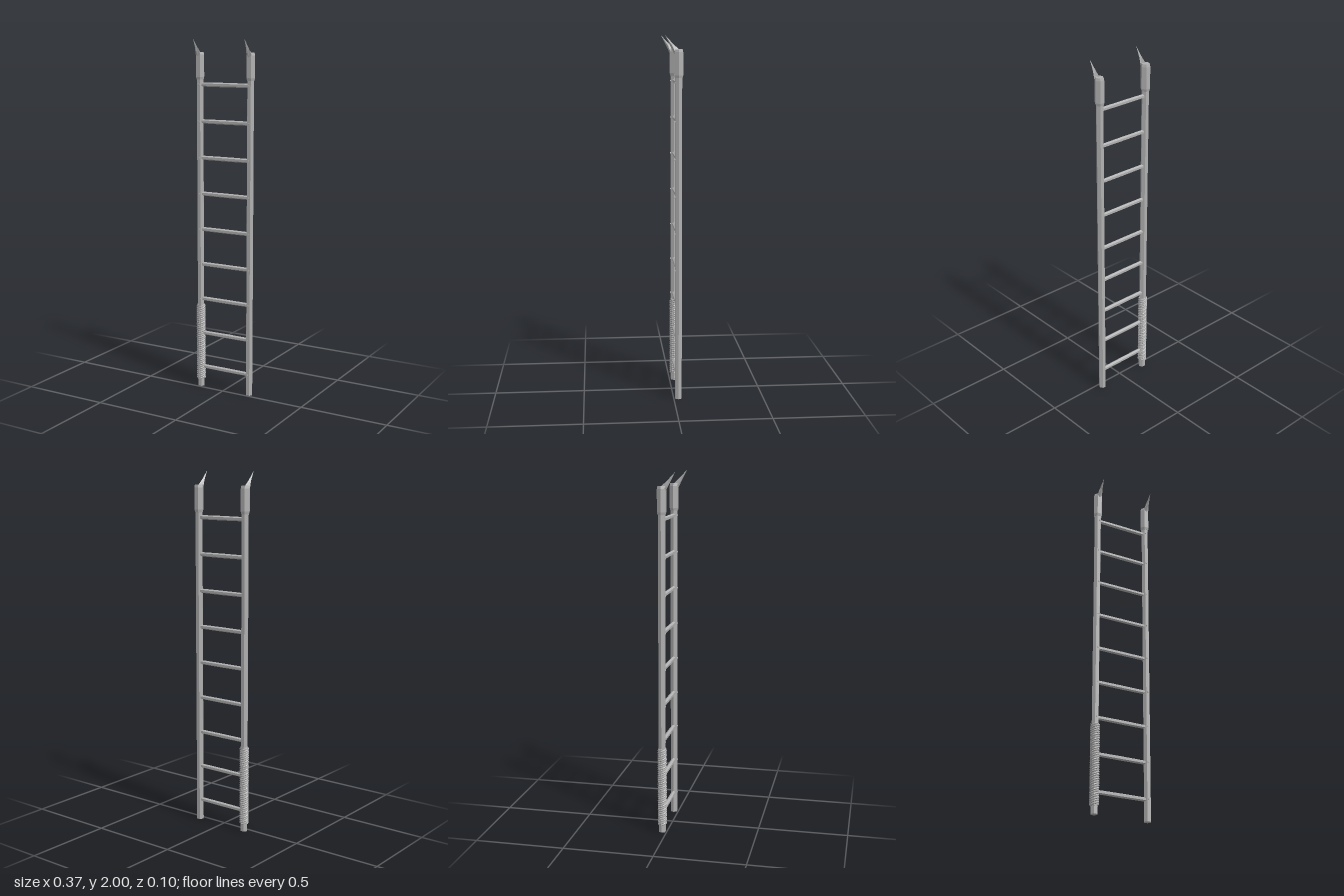
import * as THREE from 'three';

const RAIL_X = 0.159, RAIL_Z = -0.026;

// Six-sided lathe with corners pointing along x; profile is [radius, y] from bottom to top
function hexLathe(profile) {
  return new THREE.LatheGeometry(profile.map(([r, y]) => new THREE.Vector2(r, y)), 6, Math.PI / 6);
}

// One strand of rope wound around the y axis
class Coil extends THREE.Curve {
  constructor(radius, y0, y1, turns, phase) {
    super();
    Object.assign(this, { radius, y0, y1, turns, phase });
  }
  getPoint(t, target = new THREE.Vector3()) {
    const a = this.phase + t * this.turns * Math.PI * 2;
    return target.set(Math.sin(a) * this.radius, this.y0 + (this.y1 - this.y0) * t, Math.cos(a) * this.radius);
  }
}

// Four-sided spike leaning forward from the sleeve top, with slightly hollow sides
function spikeGeometry() {
  const tip = [0, 2.0, 0.0475 - RAIL_Z];
  const base = [[0, 1.926, 0], [-0.0155, 1.912, 0.021], [0, 1.9, 0.0235], [0.0155, 1.912, 0.021]];
  const middle = [[0, 1.955, 0.032], [-0.0085, 1.949, 0.039], [0, 1.943, 0.045], [0.0085, 1.949, 0.039]];
  const faces = [];
  for (let i = 0; i < 4; i++) {
    const j = (i + 1) % 4;
    faces.push(...base[i], ...base[j], ...middle[j]);
    faces.push(...base[i], ...middle[j], ...middle[i]);
    faces.push(...middle[i], ...middle[j], ...tip);
  }
  faces.push(...base[0], ...base[2], ...base[1], ...base[0], ...base[3], ...base[2]);
  const geometry = new THREE.BufferGeometry();
  geometry.setAttribute('position', new THREE.Float32BufferAttribute(faces, 3));
  geometry.computeVertexNormals();
  return geometry;
}

export function createModel() {
  const model = new THREE.Group();
  model.name = 'ladder';
  const metal = new THREE.MeshStandardMaterial({ color: 0xb0b0b0, flatShading: true });
  metal.name = 'grey metal';

  const add = (name, geometry, x, y, z) => {
    const mesh = new THREE.Mesh(geometry, metal);
    mesh.name = name;
    mesh.position.set(x, y, z);
    model.add(mesh);
  };

  // Hexagonal rails, capped by chamfered sleeves and spikes
  const rail = hexLathe([[0, 0], [0.0205, 0], [0.0205, 1.85], [0, 1.85]]);
  const sleeve = hexLathe([[0, 1.775], [0.0225, 1.775], [0.0262, 1.79], [0.0262, 1.91], [0.023, 1.925], [0, 1.925]]);
  const spike = spikeGeometry();
  for (const [side, s] of [['left', 1], ['right', -1]]) {
    add(side + 'Rail', rail, s * RAIL_X, 0, RAIL_Z);
    add(side + 'Sleeve', sleeve, s * RAIL_X, 0, RAIL_Z);
    add(side + 'Spike', spike, s * RAIL_X, 0, RAIL_Z);
  }

  // Hexagonal rungs, a touch thicker in the middle, pinned through the front of each rail
  const rung = hexLathe([[0.0118, -0.15], [0.0126, 0], [0.0118, 0.15]]);
  rung.rotateZ(Math.PI / 2);
  const pin = new THREE.CylinderGeometry(0.005, 0.005, 0.006, 6).rotateX(Math.PI / 2);
  for (let i = 0; i < 9; i++) {
    const y = 0.12 + i * 0.2035;
    add('rung' + (i + 1), rung, 0, y, RAIL_Z);
    for (const s of [-1, 1]) add('rungPin', pin, s * 0.157, y, -0.007);
  }

  // Four-strand wrapped grip on the lower right rail
  const strands = 4, turns = 9;
  for (let i = 0; i < strands; i++) {
    const coil = new Coil(0.0205, 0.045, 0.488, turns, i * Math.PI * 2 / strands);
    add('gripStrand', new THREE.TubeGeometry(coil, turns * 12, 0.006, 6), -RAIL_X, 0, RAIL_Z);
  }
  const core = hexLathe([[0, 0.042], [0.0225, 0.042], [0.0225, 0.492], [0, 0.492]]);
  add('gripCore', core, -RAIL_X, 0, RAIL_Z);

  return model;
}
